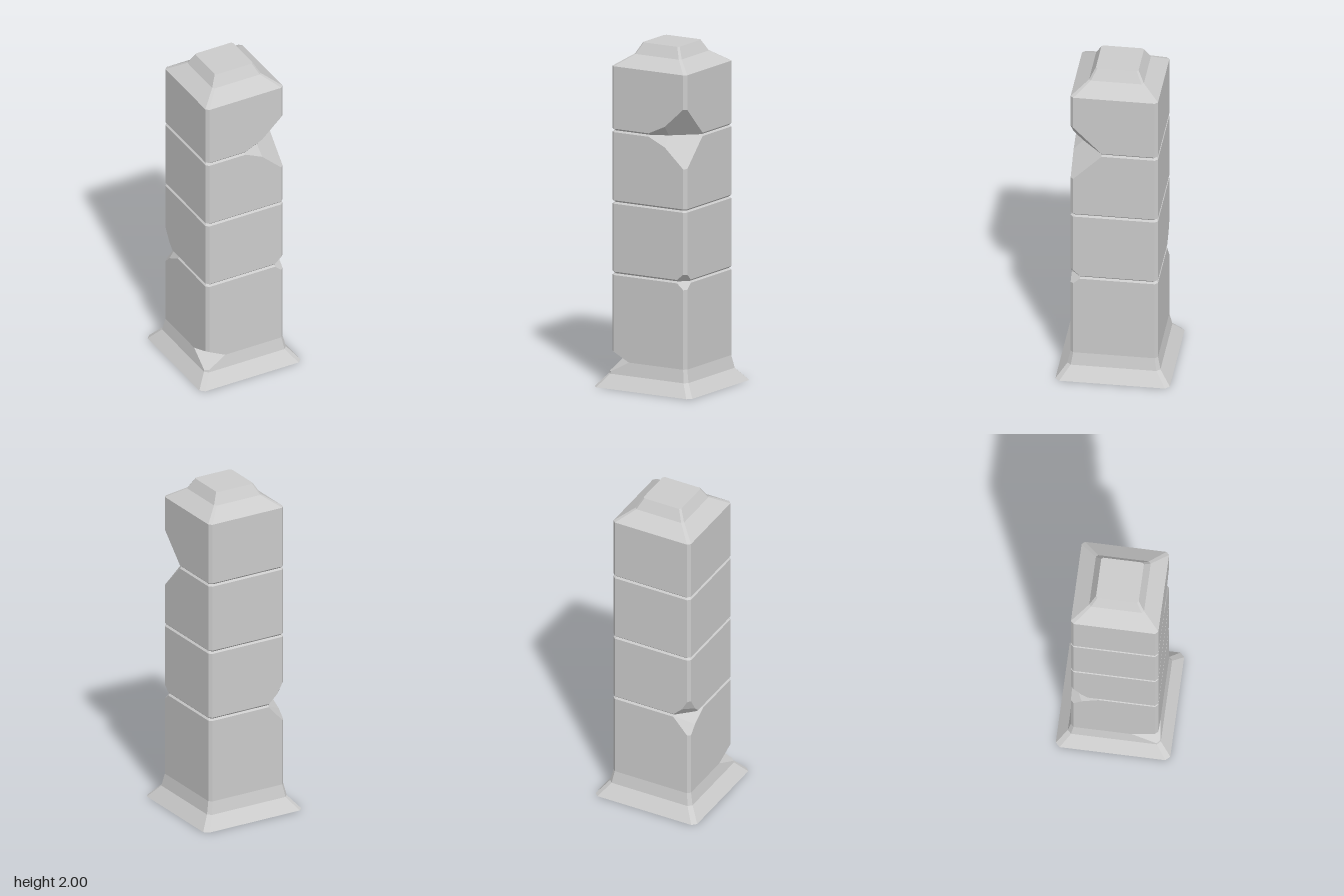
import * as THREE from 'three';
import { ConvexGeometry } from 'three/addons/geometries/ConvexGeometry.js';

const H = 0.252;        // half width of the shaft
const BEVEL = 0.017;    // corner chamfer of the shaft
const V = (x, y, z) => new THREE.Vector3(x, y, z);

// Square cross-section with chamfered corners
function ring(half, chamfer, y) {
  const pts = [], k = half - chamfer;
  for (const sx of [-1, 1]) for (const sz of [-1, 1]) {
    pts.push(V(sx * half, y, sz * k), V(sx * k, y, sz * half));
  }
  return pts;
}

// Distinct corners of a hull
function corners(geometry) {
  const p = geometry.attributes.position, found = new Map();
  for (let i = 0; i < p.count; i++) {
    const v = V().fromBufferAttribute(p, i);
    found.set(v.toArray().map((n) => n.toFixed(5)).join(), v);
  }
  return [...found.values()];
}

// Slice a convex solid with a plane through three points, keeping the core side
function slice(points, [a, b, c], core) {
  const plane = new THREE.Plane().setFromCoplanarPoints(a, b, c);
  if (plane.distanceToPoint(core) > 0) plane.negate();
  const d = points.map((p) => plane.distanceToPoint(p));
  const kept = points.filter((p, i) => d[i] <= 1e-6);
  points.forEach((p, i) => points.forEach((q, j) => {
    if (d[i] < -1e-6 && d[j] > 1e-6) kept.push(p.clone().lerp(q, d[i] / (d[i] - d[j])));
  }));
  return corners(new ConvexGeometry(kept));
}

// Cutting plane near the shaft corner (sx, sz); each point is [inset x, y, inset z]
const chip = (sx, sz, ...pts) => pts.map(([ix, y, iz]) => V(sx * (H - ix), y, sz * (H - iz)));

export function createModel() {
  const group = new THREE.Group();
  const material = new THREE.MeshStandardMaterial({ color: 0xcccccc, flatShading: true });

  function addStone(name, rings, cuts = []) {
    let pts = rings.flatMap((r) => ring(...r));
    const core = V(0, (rings[0][2] + rings[rings.length - 1][2]) / 2, 0);
    for (const cut of cuts) pts = slice(pts, cut, core);
    const mesh = new THREE.Mesh(new ConvexGeometry(pts), material);
    mesh.name = name;
    group.add(mesh);
  }

  // Joint heights and the bevelled ends that form the V grooves
  const J1 = 0.66, J2 = 1.077, J3 = 1.495, G = 0.01;
  const block = (y0, y1, open0 = true, open1 = true) => [
    ...(open0 ? [[H - G, BEVEL, y0], [H, BEVEL, y0 + G]] : [[H, BEVEL, y0]]),
    ...(open1 ? [[H, BEVEL, y1 - G], [H - G, BEVEL, y1]] : [[H, BEVEL, y1]]),
  ];

  // Large break at the front left corner, mirrored above and below the top joint
  const largeBreak = (s) => [
    chip(1, 1, [0, J3 + s * 0.19, 0], [0.142, J3 + s * 0.06, 0], [0, J3, 0.19]),
    chip(1, 1, [0.272, J3, 0], [0.142, J3 + s * 0.06, 0], [0.136, J3, 0.06]),
  ];
  // Small nick lower down on the same corner
  const nick = (s) => chip(1, 1, [0, J1 + s * 0.06, 0], [0.07, J1, 0], [0, J1, 0.065]);

  // Break at the back right corner around the lowest joint
  const backBreakAbove = [
    chip(-1, -1, [0, 0.81, 0], [0.05, 0.72, 0], [0, 0.705, 0.064]),
    chip(-1, -1, [0.05, 0.72, 0], [0, 0.705, 0.064], [0.115, J1, 0]),
  ];
  const backBreakBelow = [
    chip(-1, -1, [0, 0.53, 0], [0.115, J1, 0], [0, 0.595, 0.064]),
    chip(-1, -1, [0.115, J1, 0], [0, 0.595, 0.064], [0, J1, 0.18]),
  ];

  // Shallow break at the front right corner of the foot
  const footBreak = (y) => chip(-1, 1, [0, y, 0], [0.12, 0.15, 0], [0, 0.15, 0.15]);

  // Flared base
  addStone('basePlinth', [[0.33, 0.025, 0], [0.268, 0.021, 0.075]]);
  addStone('baseCollar', [[0.268, 0.021, 0.075], [H, BEVEL, 0.15]], [footBreak(0.09)]);

  // Shaft blocks
  addStone('bottomBlock', block(0.15, J1, false, true), [footBreak(0.21), nick(-1), ...backBreakBelow]);
  addStone('lowerBlock', block(J1, J2), [nick(1), ...backBreakAbove]);
  addStone('upperBlock', block(J2, J3), largeBreak(-1));
  addStone('topBlock', block(J3, 1.87, true, false), largeBreak(1));

  // Stepped cap
  addStone('capSlope', [[H, BEVEL, 1.87], [0.158, 0.012, 1.935]]);
  addStone('capTop', [[0.158, 0.012, 1.935], [0.123, 0.01, 2]]);

  return group;
}
